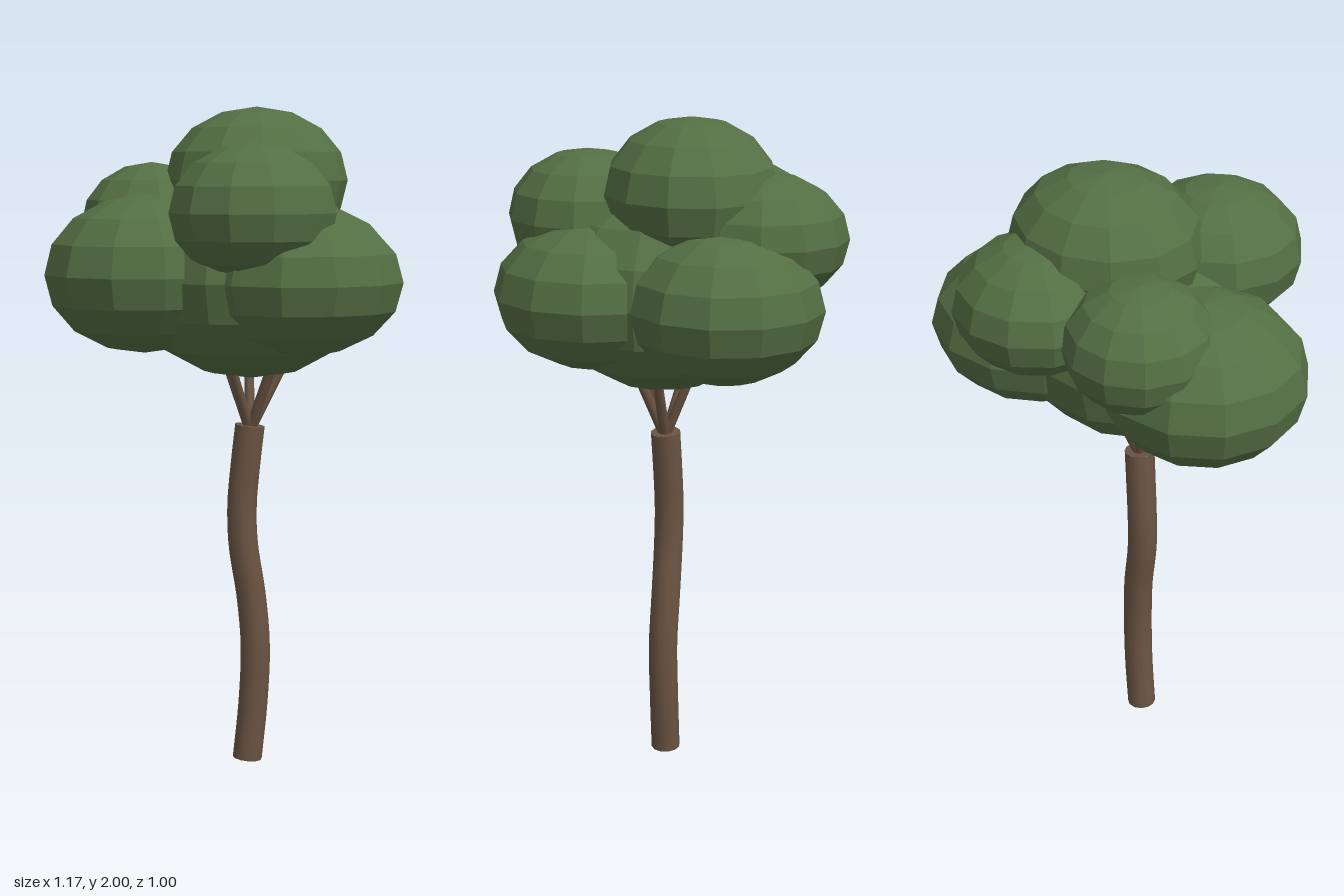
import * as THREE from 'three';

export function createModel() {
  const tree = new THREE.Group();
  tree.name = 'tree';

  const leaf = new THREE.MeshStandardMaterial({ color: 0x546f44 });
  leaf.name = 'leaf green';
  leaf.flatShading = true;
  const bark = new THREE.MeshStandardMaterial({ color: 0x6a5443 });
  bark.name = 'bark brown';

  const add = (name, geometry, material, parent = tree) => {
    const mesh = new THREE.Mesh(geometry, material);
    mesh.name = name;
    parent.add(mesh);
    return mesh;
  };

  // Gently swaying trunk with closed ends
  const path = new THREE.CatmullRomCurve3([
    [-0.008, 0.005, -0.008], [0.008, 0.18, 0], [0.014, 0.36, 0.004], [0.005, 0.52, -0.006],
    [-0.016, 0.68, -0.018], [-0.018, 0.8, -0.021], [-0.01, 0.92, -0.015], [0.001, 1.045, -0.006],
  ].map((p) => new THREE.Vector3(...p)));
  const radius = 0.045;
  add('trunk', new THREE.TubeGeometry(path, 24, radius, 12), bark);
  for (const t of [0, 1]) {
    const cap = add(t ? 'trunkTop' : 'trunkBase', new THREE.CircleGeometry(radius, 12), bark);
    const outward = path.getTangentAt(t).multiplyScalar(t ? 1 : -1);
    cap.position.copy(path.getPointAt(t));
    cap.quaternion.setFromUnitVectors(new THREE.Vector3(0, 0, 1), outward);
  }

  // Thin branches fanning out of the trunk into the crown
  const branches = new THREE.Group();
  branches.name = 'branches';
  tree.add(branches);
  const root = new THREE.Vector3(0, 1.03, -0.005);
  const tips = [[-0.12, 1.3, 0.04], [0.13, 1.3, 0.05], [0.03, 1.32, 0.12], [-0.05, 1.3, -0.1], [0.06, 1.3, -0.1]];
  for (const tip of tips) {
    const direction = new THREE.Vector3(...tip).sub(root);
    const length = direction.length();
    const branch = add('branch', new THREE.CylinderGeometry(0.014, 0.016, length, 8), bark, branches);
    branch.position.copy(root).addScaledVector(direction, 0.5);
    branch.quaternion.setFromUnitVectors(new THREE.Vector3(0, 1, 0), direction.normalize());
  }

  // Faceted, squashed leaf clumps: name, centre, radii, turn
  const crown = new THREE.Group();
  crown.name = 'crown';
  tree.add(crown);
  const clumps = [
    ['coreClump', [0, 1.49, 0], [0.37, 0.3, 0.37], 0.1],
    ['topClump', [0.07, 1.78, -0.07], [0.285, 0.22, 0.26], 0.05],
    ['upperFrontClump', [-0.13, 1.69, 0.205], [0.25, 0.2, 0.24], 0.2],
    ['lowerFrontClump', [0.035, 1.488, 0.21], [0.303, 0.218, 0.3], 0.25],
    ['leftClump', [0.288, 1.488, -0.125], [0.3, 0.218, 0.285], 0.15],
    ['rightClump', [-0.288, 1.505, -0.14], [0.3, 0.235, 0.295], 0.2],
    ['upperBackRightClump', [-0.172, 1.65, -0.285], [0.215, 0.185, 0.217], 0.1],
    ['upperBackLeftClump', [0.17, 1.66, -0.265], [0.243, 0.19, 0.245], 0.25],
  ];
  for (const [name, centre, radii, turn] of clumps) {
    const ball = new THREE.SphereGeometry(1, 12, 8).rotateY(turn).scale(...radii);
    add(name, ball, leaf, crown).position.set(...centre);
  }

  return tree;
}
